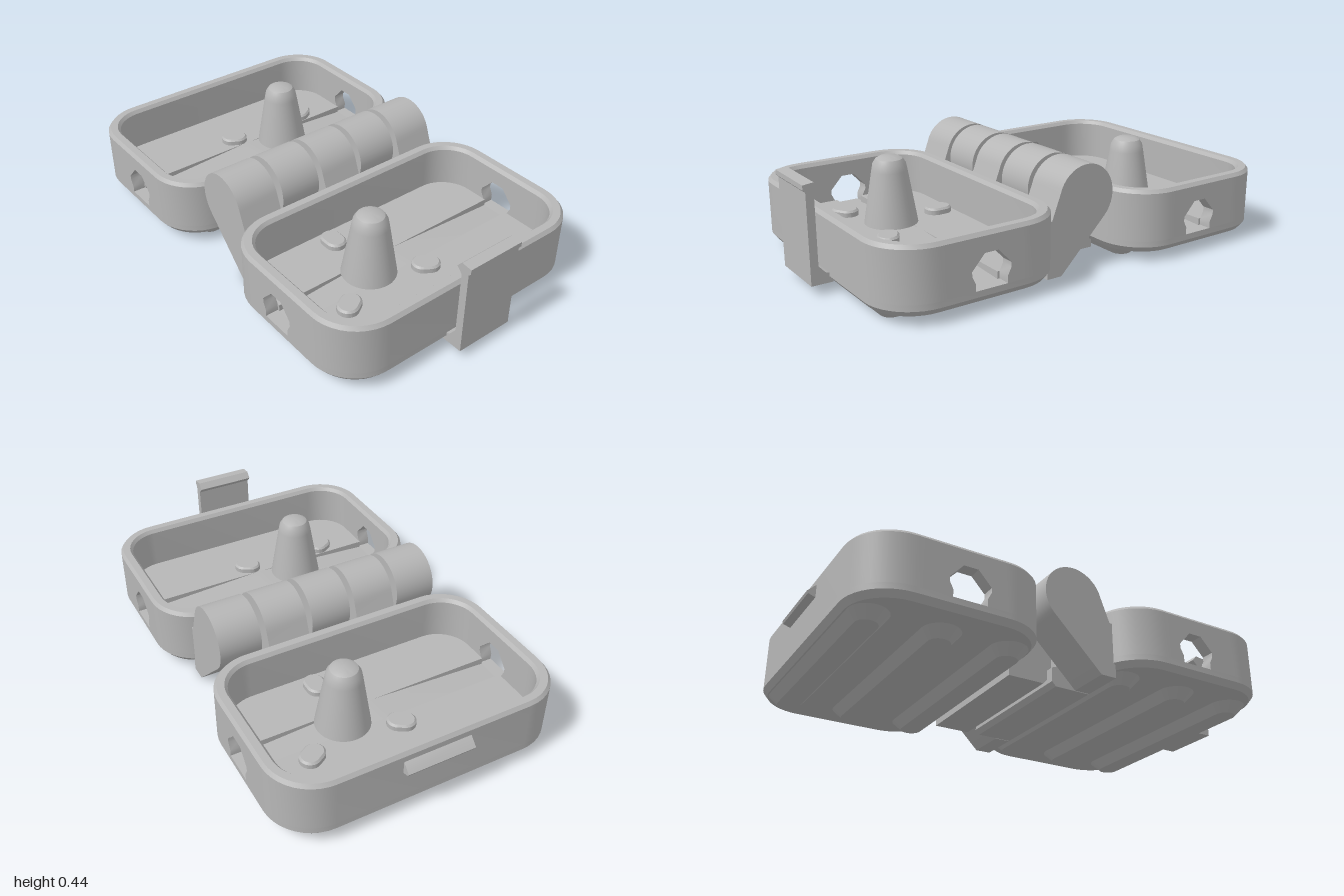
import * as THREE from 'three';
import { toCreasedNormals } from 'three/addons/utils/BufferGeometryUtils.js';

const grey = new THREE.MeshStandardMaterial({ color: 0xb6b6b6 });
grey.name = 'grey plastic';

function part(name, geometry, parent) {
  const mesh = new THREE.Mesh(toCreasedNormals(geometry, 0.5), grey);
  mesh.name = name;
  parent.add(mesh);
  return mesh;
}

const toShape = (pts) => new THREE.Shape(pts.map(([a, b]) => new THREE.Vector2(a, b)));

// (z, y) profile extruded from x0 to x1
function extrudeX(pts, x0, x1) {
  return new THREE.ExtrudeGeometry(toShape(pts), { depth: x1 - x0, bevelEnabled: false })
    .rotateY(-Math.PI / 2).translate(x1, 0, 0);
}

// (x, z) outline extruded from y0 to y1
function extrudeY(pts, y0, y1) {
  return new THREE.ExtrudeGeometry(toShape(pts), { depth: y1 - y0, bevelEnabled: false })
    .rotateX(Math.PI / 2).translate(0, y1, 0);
}

// Rounded rectangle in (x, z), first half at +z, second half at -z
function roundedRect(hx, hz, r) {
  const pts = [];
  [[1, 1], [-1, 1], [-1, -1], [1, -1]].forEach(([sx, sz], q) => {
    for (let i = 0; i <= 10; i++) {
      const a = (q + i / 10) * Math.PI / 2;
      pts.push([sx * (hx - r) + r * Math.cos(a), sz * (hz - r) + r * Math.sin(a)]);
    }
  });
  return pts;
}

// The piece of a rounded rectangle beyond a cut line, on the side given by sign
function cutRect(hx, hz, r, cut, sign) {
  const half = roundedRect(hx, hz, r).slice(0, 22).map(([x, z]) => [x, z * sign]);
  return [[hx, cut], ...half, [-hx, cut]];
}

// Skin over stacked rounded rectangles [hx, hz, r, y]
function loft(levels, capped = true) {
  const rings = levels.map(([hx, hz, r, y]) => roundedRect(hx, hz, r).map(([x, z]) => [x, y, z]));
  const n = rings[0].length, v = [];
  for (let i = 0; i < n; i++) {
    const j = (i + 1) % n;
    for (let k = 0; k + 1 < rings.length; k++) {
      const a = rings[k][i], b = rings[k][j], c = rings[k + 1][j], d = rings[k + 1][i];
      v.push(...a, ...d, ...c, ...a, ...c, ...b);
    }
    if (capped) {
      const lo = rings[0], hi = rings[rings.length - 1];
      v.push(0, lo[0][1], 0, ...lo[i], ...lo[j], 0, hi[0][1], 0, ...hi[j], ...hi[i]);
    }
  }
  const g = new THREE.BufferGeometry();
  g.setAttribute('position', new THREE.Float32BufferAttribute(v, 3));
  return g;
}

const HX = 0.62, HZ = 0.39, R = 0.2, WALL = 0.055, BASE = 0.09, FLOOR = 0.12, RIM = 0.295;
const inset = (d, y) => [HX - d, HZ - d, R - d, y];

function createTray() {
  const tray = new THREE.Group();
  const cz = -0.025;
  part('trayBase', loft([inset(0.02, 0.04), inset(0, 0.065), inset(0, BASE)]), tray);
  part('rim', loft([inset(0, RIM), inset(0.012, 0.31), inset(0.043, 0.31), inset(WALL, RIM)], false), tray);

  // End walls, and side walls with a faceted opening
  for (const s of [1, -1]) {
    const inner = cutRect(HX - WALL, HZ - WALL, R - WALL, 0.16 * s, s).reverse();
    part('endWall', extrudeY([...cutRect(HX, HZ, R, 0.16 * s, s), ...inner], BASE, RIM), tray);
    const hole = [[0.07, BASE], [0.07, 0.12], [0.085, 0.15], [0.085, 0.17], [0.03, 0.23]];
    const edge = [
      ...hole.map(([z, y]) => [cz + z, y]),
      ...hole.slice().reverse().map(([z, y]) => [cz - z, y]),
    ];
    const wall = [[-0.16, BASE], [-0.16, RIM], [0.16, RIM], [0.16, BASE], ...edge];
    part('sideWall', extrudeX(wall, s > 0 ? HX - WALL : -HX, s > 0 ? HX : WALL - HX), tray);
    part('floor', extrudeY(cutRect(HX - WALL, HZ - WALL, R - WALL, cz + 0.06 * s, s), BASE, FLOOR), tray);
  }

  // Channel that slopes down towards both openings
  const x = HX - WALL;
  const ramp = toShape([[-x, BASE], [x, BASE], [0.02, FLOOR], [-0.02, FLOOR]]);
  part('channelRamp', new THREE.ExtrudeGeometry(ramp, { depth: 0.12, bevelEnabled: false })
    .translate(0, 0, cz - 0.06), tray);

  // Tapered post with three pads around it
  const profile = [[0.115, FLOOR], [0.076, 0.35], [0.07, 0.38], [0.057, 0.4], [0.038, 0.41], [0, 0.41]];
  const post = part('post', new THREE.LatheGeometry(profile.map(([r, y]) => new THREE.Vector2(r, y)), 32), tray);
  post.position.set(-0.16, 0, cz - 0.005);
  for (const [dx, dz] of [[0, -0.23], [-0.2, 0.12], [0.2, 0.12]]) {
    const pad = part('pad', loft([[0.06, 0.045, 0.045, FLOOR], [0.06, 0.045, 0.045, 0.14], [0.052, 0.037, 0.037, 0.148]]), tray);
    pad.position.set(-0.16 + dx, 0, cz - 0.005 + dz);
    pad.rotation.y = -Math.atan2(dz, dx);
  }

  // Ribs underneath
  for (const z of [-0.285, 0, 0.285]) {
    part('bottomRib', loft([[0.47, 0.045, 0.045, 0], [0.52, 0.08, 0.08, 0.042]]), tray).position.z = z;
  }
  return tray;
}

// One half of the case, with the hinge axis at z = 0
function createHalf(knuckles) {
  const half = new THREE.Group();
  const tray = createTray();
  tray.name = 'tray';
  tray.position.z = 0.55;
  half.add(tray);

  const arm = [[0.12, 0]];
  for (let i = 0; i <= 24; i++) {
    const a = (225 - i * 8.75) * Math.PI / 180;
    arm.push([0.135 * Math.cos(a), 0.31 + 0.135 * Math.sin(a)]);
  }
  arm.push([0.17, 0.24], [0.19, 0.24], [0.19, 0]);
  for (const [x0, x1] of knuckles) part('hingeArm', extrudeX(arm, x0, x1), half);
  const stop = [[0.03, 0], [0.012, 0.02], [0.012, 0.08], [0.14, 0.13], [0.19, 0.15], [0.19, 0]];
  part('hingeStop', extrudeX(stop, -0.32, 0.32), half);
  return half;
}

export function createModel() {
  const model = new THREE.Group();
  model.name = 'hingedCase';
  const axis = -0.025;

  const front = createHalf([[-0.51, -0.325], [-0.09, 0.09], [0.325, 0.51]]);
  front.name = 'frontHalf';
  front.position.z = axis;
  const back = createHalf([[-0.3, -0.115], [0.115, 0.3]]);
  back.name = 'backHalf';
  back.position.z = axis;
  back.rotation.y = Math.PI;
  model.add(front, back);

  const pin = new THREE.CylinderGeometry(0.06, 0.06, 1, 24).rotateZ(Math.PI / 2);
  part('hingePin', pin, model).position.set(0, 0.31, axis);

  // Hooked latch on the front and its catch on the back
  const latch = [
    [0.9, 0.04], [0.99, 0.04], [0.99, 0.41], [1, 0.42], [1, 0.44], [0.955, 0.445],
    [0.933, 0.42], [0.957, 0.395], [0.957, 0.115], [0.93, 0.085], [0.9, 0.075],
  ];
  part('latch', extrudeX(latch, -0.13, 0.13), model);
  part('catch', extrudeX([[-0.95, 0.275], [-0.965, 0.27], [-1, 0.235], [-0.995, 0.225], [-0.95, 0.21]], -0.147, 0.147), model);
  return model;
}
